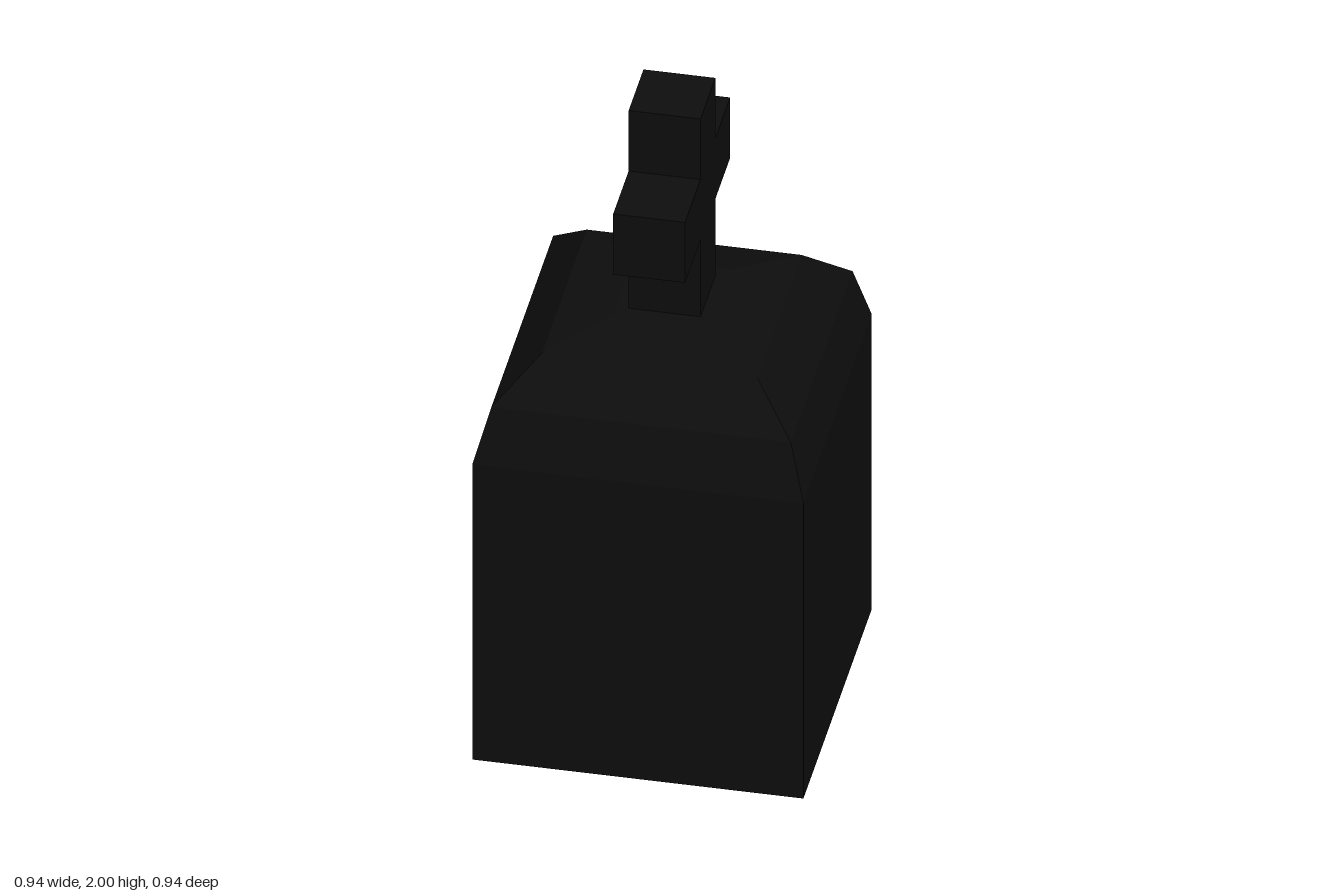
import * as THREE from 'three';

export function createModel() {
  const group = new THREE.Group();
  const material = new THREE.MeshStandardMaterial({ color: 0x0d0d0d, flatShading: true });

  const add = (name, geometry) => {
    const mesh = new THREE.Mesh(geometry, material);
    mesh.name = name;
    group.add(mesh);
  };

  // Square body with a faceted shoulder: [half width, height], turned in four sides
  const profile = [[0, 0], [0.47, 0], [0.47, 1], [0.425, 1.17], [0.305, 1.29], [0.14, 1.33], [0, 1.33]]
    .map(([w, y]) => new THREE.Vector2(w * Math.SQRT2, y));
  add('body', new THREE.LatheGeometry(profile, 4, Math.PI / 4));

  // Cross on top, its arms running front to back
  const t = 0.102, front = 0.315, back = -0.305, armLow = 1.59, armHigh = 1.795;
  const outline = new THREE.Shape([
    [-t, 1.3], [t, 1.3], [t, armLow], [front, armLow], [front, armHigh], [t, armHigh],
    [t, 2], [-t, 2], [-t, armHigh], [back, armHigh], [back, armLow], [-t, armLow],
  ].map(([z, y]) => new THREE.Vector2(z, y)));
  const cross = new THREE.ExtrudeGeometry(outline, { depth: 2 * t, bevelEnabled: false });
  cross.translate(0, 0, -t).rotateY(-Math.PI / 2);
  add('cross', cross);

  return group;
}
